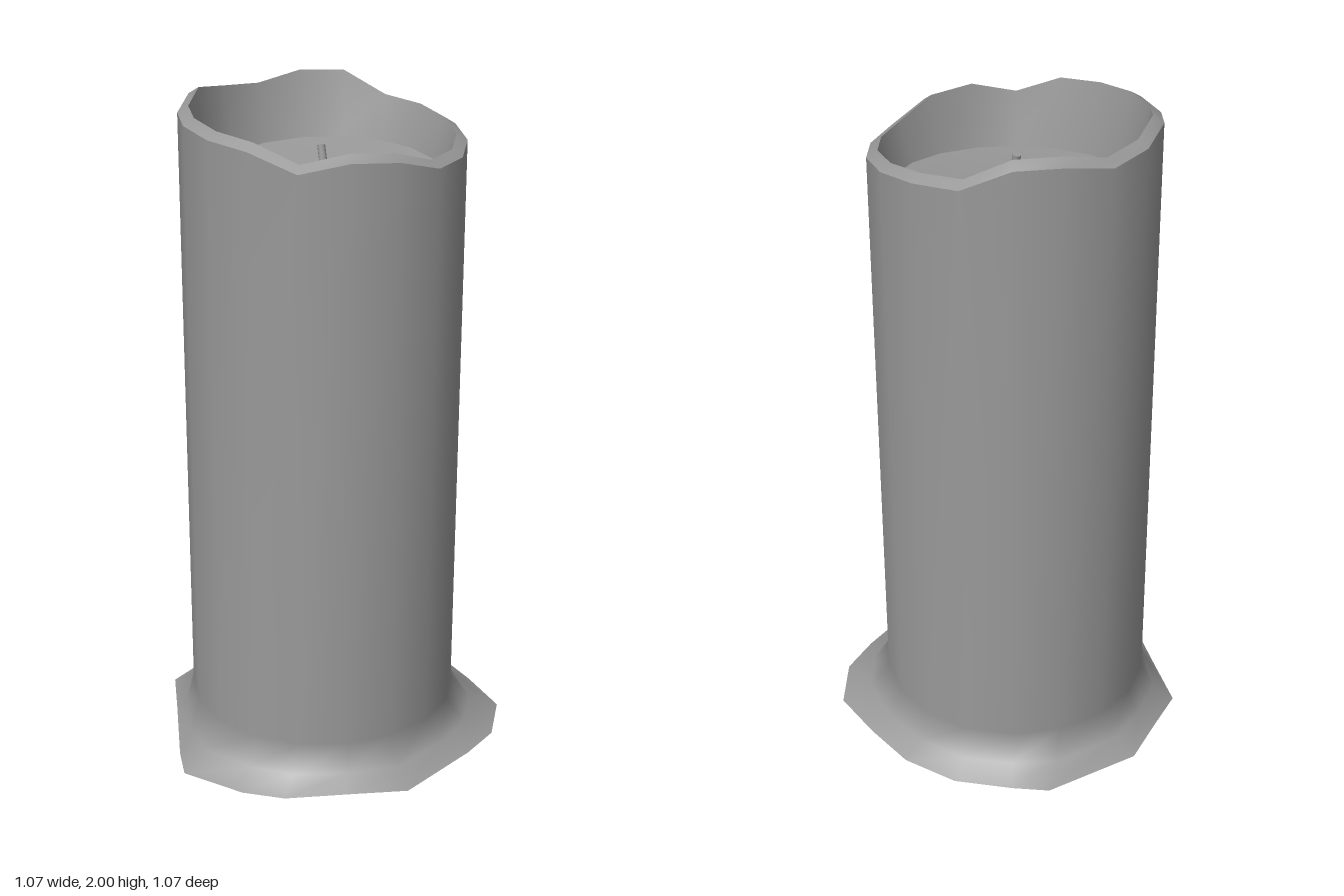
import * as THREE from 'three';
import { mergeVertices } from 'three/addons/utils/BufferGeometryUtils.js';

const N = 18, CX = 0.02, CZ = -0.01;
const material = new THREE.MeshStandardMaterial({ color: 0x989898 });

// Ring of N points, starting at the front (+z) and turning toward +x
function ring(radius, height) {
  return Array.from({ length: N }, (_, k) => {
    const a = (k / N) * Math.PI * 2;
    const x = CX + radius * Math.sin(a), z = CZ + radius * Math.cos(a);
    return [x, typeof height === 'function' ? height(k, x, z) : height, z];
  });
}

// Smooth skin through successive rings; a ring of radius 0 closes to one point
function loft(name, rings) {
  const index = [];
  for (let i = 0; i < rings.length - 1; i++) {
    for (let k = 0; k < N; k++) {
      const a = i * N + k, b = i * N + (k + 1) % N;
      index.push(a, b, b + N, a, b + N, a + N);
    }
  }
  const skin = new THREE.BufferGeometry();
  skin.setAttribute('position', new THREE.Float32BufferAttribute(rings.flat(2), 3));
  skin.setIndex(index);
  const geometry = mergeVertices(skin);
  geometry.computeVertexNormals();
  const mesh = new THREE.Mesh(geometry, material);
  mesh.name = name;
  return mesh;
}

export function createModel() {
  const group = new THREE.Group();
  group.name = 'candle';

  // Uneven height of the melted rim, one value per side
  const rimY = [1.90, 1.86, 1.86, 1.875, 1.89, 1.905, 1.915, 1.98, 1.98,
    1.95, 1.96, 1.98, 1.955, 1.95, 1.94, 1.93, 1.88, 1.91];

  // Irregular outline of the wax pooled at the foot (x, z)
  const foot = [[0, 0.532], [0.276, 0.45], [0.405, 0.394], [0.52, 0.262], [0.535, 0.08],
    [0.535, -0.1], [0.476, -0.273], [0.36, -0.41], [0.28, -0.49], [-0.026, -0.538],
    [-0.16, -0.477], [-0.314, -0.41], [-0.39, -0.24], [-0.5, 0], [-0.538, 0.106],
    [-0.435, 0.288], [-0.34, 0.38], [-0.17, 0.455]].map(([x, z]) => [x, 0, z]);

  const outerRim = ring(0.414, k => rimY[k]);
  const innerRim = ring(0.382, k => rimY[k] + 0.02);
  const wallFoot = ring(0.414, 0.12);
  // Flare partway between the wall and the foot outline
  const flare = wallFoot.map(([x, , z], k) =>
    [x + (foot[k][0] - x) * 0.4, 0.04, z + (foot[k][2] - z) * 0.4]);
  // Wax pool edge, slightly tilted
  const poolEdge = ring(0.345, (k, x, z) => 1.772 + 0.065 * (x - CX - z + CZ));

  group.add(
    loft('underside', [ring(0, 0), foot]),
    loft('waxBody', [foot, flare, wallFoot, outerRim]),
    loft('rim', [outerRim, innerRim]),
    loft('innerWall', [innerRim, poolEdge]),
    loft('waxPool', [poolEdge, ring(0, 1.735)])
  );

  // Wick, bending slightly to the back
  const path = new THREE.CatmullRomCurve3([
    new THREE.Vector3(CX, 1.70, -0.003),
    new THREE.Vector3(CX, 1.79, -0.004),
    new THREE.Vector3(CX, 1.86, -0.02)
  ]);
  const wick = new THREE.Mesh(new THREE.TubeGeometry(path, 6, 0.012, 8), material);
  wick.name = 'wick';
  const tip = new THREE.Mesh(new THREE.CircleGeometry(0.012, 8), material);
  tip.name = 'wickTip';
  tip.position.copy(path.getPoint(1));
  tip.lookAt(tip.position.clone().add(path.getTangent(1)));
  group.add(wick, tip);

  return group;
}
